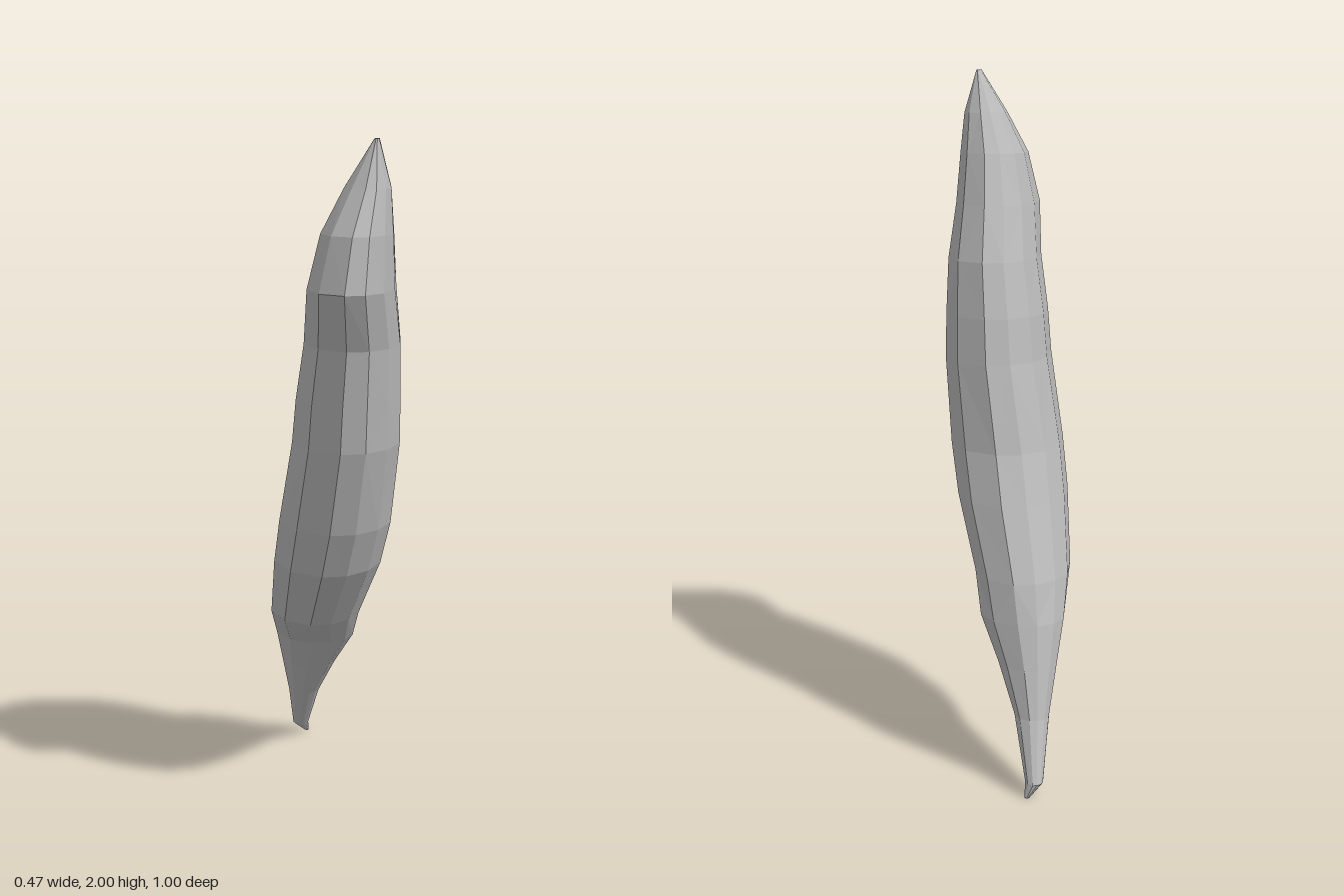
import * as THREE from 'three';

// Cross-sections from the pointed foot to the crest: [y, xMin, xMax, zMin, zMax]
const SECTIONS = [
  [0, -0.205, -0.19, -0.5, -0.485],
  [0.04, -0.238, -0.185, -0.5, -0.43],
  [0.2, -0.23, -0.125, -0.43, -0.3],
  [0.33, -0.235, -0.055, -0.395, -0.19],
  [0.45, -0.24, 0.02, -0.365, -0.085],
  [0.56, -0.23, 0.06, -0.335, 0.08],
  [0.76, -0.19, 0.15, -0.25, 0.24],
  [0.9, -0.16, 0.19, -0.19, 0.3],
  [1.15, -0.103, 0.226, -0.13, 0.37],
  [1.28, -0.085, 0.231, -0.1, 0.39],
  [1.44, -0.052, 0.235, -0.05, 0.415],
  [1.6, -0.022, 0.233, 0.03, 0.5],
  [1.75, 0.02, 0.23, 0.11, 0.47],
  [1.87, 0.085, 0.222, 0.19, 0.4],
  [2, 0.175, 0.188, 0.29, 0.335],
];
const STEPS = 3; // facets per quarter
const SIDES = STEPS * 4;
const SKEW = 0.1; // turns each oval so its +x side reaches forward

// Skewed oval touching all four sides of a section's rectangle
function makeRing([y, x0, x1, z0, z1]) {
  const x = (f) => x0 + (x1 - x0) * f;
  const z = (f) => z0 + (z1 - z0) * f;
  const ends = [[x1, z(0.5 + SKEW)], [x(0.5 + SKEW), z1], [x0, z(0.5 - SKEW)], [x(0.5 - SKEW), z0]];
  const corners = [[x1, z1], [x0, z1], [x0, z0], [x1, z0]];
  const ring = [];
  for (let q = 0; q < 4; q++) {
    const a = ends[q], b = ends[(q + 1) % 4], k = corners[q];
    for (let s = 0; s < STEPS; s++) {
      const t = (s / STEPS) * Math.PI / 2;
      const at = (i) => {
        const o = a[i] + b[i] - k[i];
        return o + (a[i] - o) * Math.cos(t) + (b[i] - o) * Math.sin(t);
      };
      ring.push([at(0), y, at(1)]);
    }
  }
  return ring;
}

function loft(rings) {
  const index = [];
  const last = (rings.length - 1) * SIDES;
  for (let r = 0; r < rings.length - 1; r++) {
    for (let i = 0; i < SIDES; i++) {
      const a = r * SIDES + i, b = r * SIDES + (i + 1) % SIDES;
      const c = a + SIDES, d = b + SIDES;
      // alternate the diagonals for an irregular chipped surface
      if ((r + i) % 2) index.push(a, c, b, b, c, d);
      else index.push(a, c, d, a, d, b);
    }
  }
  // close both ends
  for (let i = 1; i < SIDES - 1; i++) {
    index.push(0, i, i + 1, last, last + i + 1, last + i);
  }
  const geometry = new THREE.BufferGeometry();
  geometry.setAttribute('position', new THREE.Float32BufferAttribute(rings.flat(2), 3));
  geometry.setIndex(index);
  const faceted = geometry.toNonIndexed();
  faceted.computeVertexNormals();
  return faceted;
}

export function createModel() {
  const stone = new THREE.MeshStandardMaterial({ color: 0xb8b8b8, flatShading: true });
  stone.name = 'grey stone';
  const shard = new THREE.Mesh(loft(SECTIONS.map(makeRing)), stone);
  shard.name = 'stoneShard';
  const group = new THREE.Group();
  group.name = 'leaningStone';
  group.add(shard);
  return group;
}
